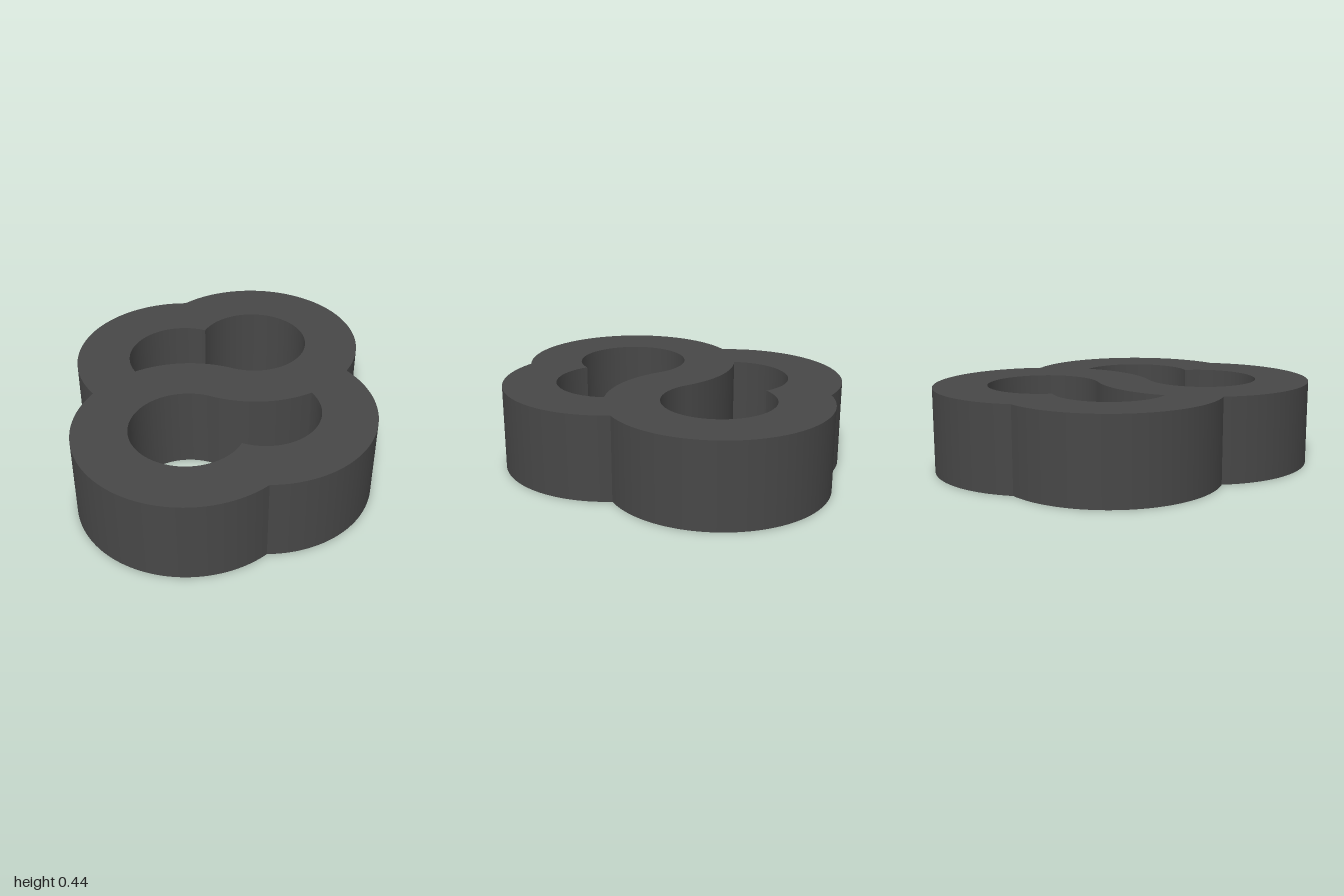
import * as THREE from 'three';
import { toCreasedNormals } from 'three/addons/utils/BufferGeometryUtils.js';

const HEIGHT = 0.44;
const OUTER = 0.57; // outer radius of each ring
const INNER = 0.29; // inner radius of each ring
const END = [0, 0.43]; // centre of an end ring
const SIDE = [-0.29, 0.14]; // centre of the side ring next to it

// Clockwise or counter-clockwise arc about c between two points;
// turn = -1 gives the same arc rotated half a turn about the origin.
function arc(path, c, radius, from, to, clockwise, turn) {
  const angle = (p) => Math.atan2(turn * (p[1] - c[1]), turn * (p[0] - c[0]));
  path.absarc(turn * c[0], turn * c[1], radius, angle(from), angle(to), clockwise);
}

export function createModel() {
  const endOpposite = [0, -END[1]];
  const sideOpposite = [-SIDE[0], -SIDE[1]];

  // Outline (counter-clockwise): four overlapping lobes meeting at notches
  const outline = new THREE.Shape();
  const notchA = [-0.521, 0.661];
  const notchB = [0.565, 0.359];
  for (const turn of [1, -1]) {
    arc(outline, sideOpposite, OUTER, [0.521, -0.661], notchB, false, turn);
    arc(outline, END, OUTER, notchB, notchA, false, turn);
  }

  // Two hooked openings (clockwise), leaving an S-shaped bar between them
  const hookTip = [-0.4607, -0.0945];
  const middle = [0, END[1] - INNER];
  for (const turn of [1, -1]) {
    const hole = new THREE.Path();
    arc(hole, END, INNER, [-INNER, END[1]], middle, true, turn);
    arc(hole, endOpposite, OUTER, middle, hookTip, false, turn);
    arc(hole, SIDE, INNER, hookTip, [SIDE[0], SIDE[1] + INNER], true, turn);
    outline.holes.push(hole);
  }

  const geometry = new THREE.ExtrudeGeometry(outline, {
    depth: HEIGHT,
    bevelEnabled: false,
    curveSegments: 64,
  });
  geometry.rotateX(-Math.PI / 2);

  const link = new THREE.Mesh(
    toCreasedNormals(geometry, 0.4),
    new THREE.MeshStandardMaterial({ color: 0x474747 })
  );
  link.name = 'interlockedRings';

  const group = new THREE.Group();
  group.name = 'knotLink';
  group.add(link);
  return group;
}
